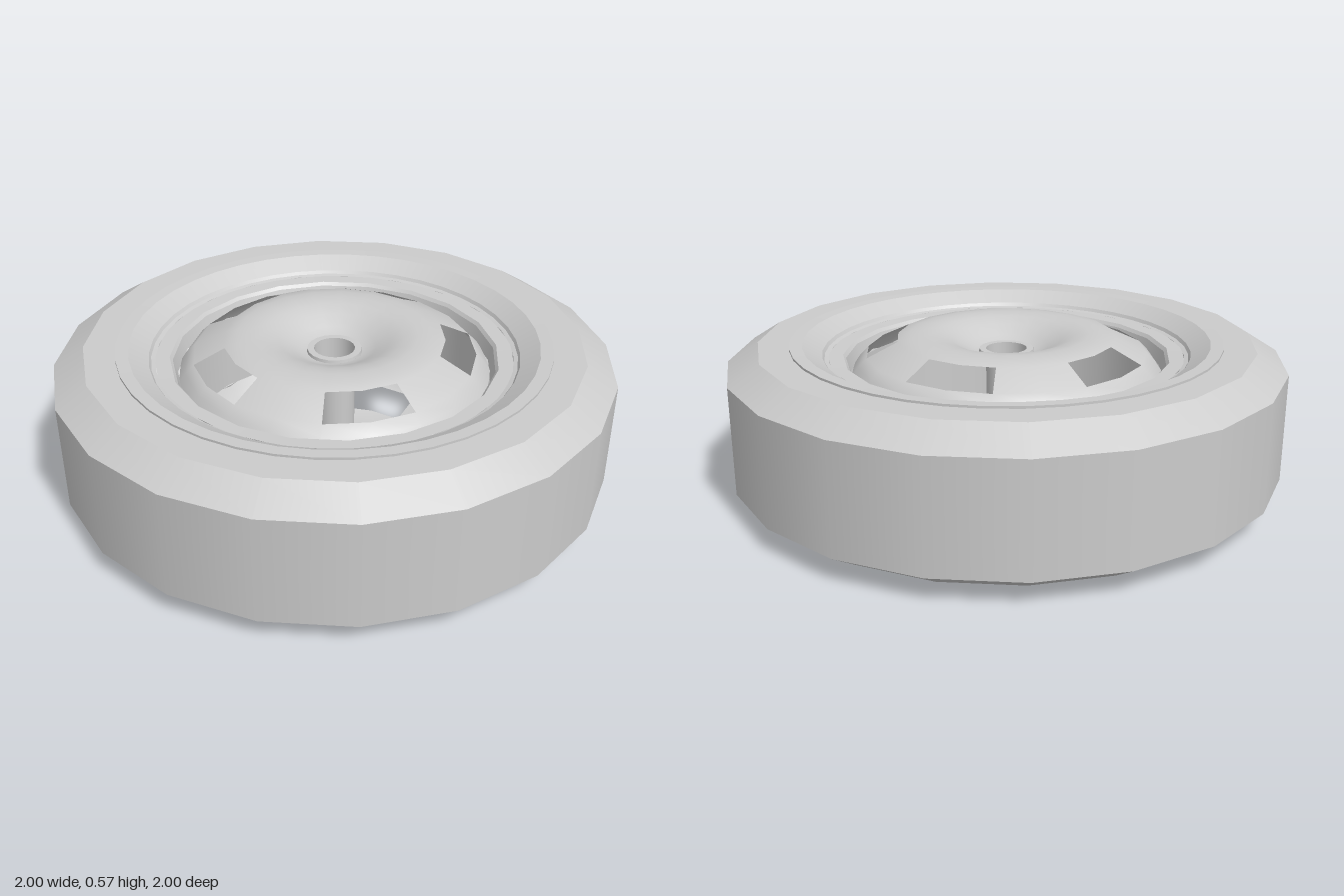
import * as THREE from 'three';

const MID = 0.283; // half the wheel's thickness; profiles are measured from this plane
const grey = new THREE.MeshStandardMaterial({ color: 0xcccccc, side: THREE.DoubleSide });

// Profiles run from outside to inside over the upper face; -1 gives the lower face
const toPoints = (profile, side) => {
  const pts = profile.map(([r, y]) => new THREE.Vector2(r, (y - MID) * side));
  return side > 0 ? pts : pts.reverse();
};

// One lathe per profile: smooth within it, sharp where two profiles meet
function addRing(parent, name, profile, side, segments, phi = 0) {
  const mesh = new THREE.Mesh(new THREE.LatheGeometry(toPoints(profile, side), segments, phi), grey);
  mesh.name = name;
  parent.add(mesh);
  return mesh;
}

// Split a polyline into separate hard-edged strips
function addFaceted(parent, name, profile, side, segments) {
  for (let i = 0; i < profile.length - 1; i++) {
    addRing(parent, name, [profile[i], profile[i + 1]], side, segments);
  }
}

// Domed wheel disc, with five windows left out of one band of faces
function addDisc(parent, side) {
  const profile = [
    [0.565, 0.43], [0.54, 0.468], [0.508, 0.5], [0.396, 0.553], [0.35, 0.562],
    [0.3, 0.566], [0.25, 0.56], [0.2, 0.542], [0.15, 0.514], [0.12, 0.5], [0.1, 0.495],
  ];
  const bands = profile.length - 1;
  const windowBand = side > 0 ? 2 : bands - 1 - 2;
  const disc = addRing(parent, 'wheelDisc', profile, side, 20, Math.PI / 20);
  const index = Array.from(disc.geometry.index.array);
  disc.geometry.setIndex(index.filter((_, n) => {
    const face = Math.floor(n / 6);
    const segment = Math.floor(face / bands);
    return !(face % bands === windowBand && segment % 4 >= 2);
  }));
}

export function createModel() {
  const wheel = new THREE.Group();
  wheel.name = 'wheel';

  const tire = new THREE.Group();
  tire.name = 'tire';
  const rim = new THREE.Group();
  rim.name = 'rim';
  const hub = new THREE.Group();
  hub.name = 'hub';
  wheel.add(tire, rim, hub);

  // Tread
  addRing(tire, 'tread', [[1, 0.09], [1, 0.476]], 1, 20);

  for (const side of [1, -1]) {
    // Shoulder and sidewall
    addFaceted(tire, 'sidewall', [[1, 0.476], [0.89, 0.545], [0.775, 0.545]], side, 20);
    // Rim lip, sloping flange, ledge and inner well
    addFaceted(rim, 'rimFlange', [
      [0.775, 0.54], [0.775, 0.553], [0.73, 0.551], [0.662, 0.51], [0.655, 0.498], [0.64, 0.494],
    ], side, 40);
    addFaceted(rim, 'rimWell', [[0.645, 0.494], [0.59, 0.492], [0.58, 0.48], [0.565, 0.43]], side, 20);
    addDisc(rim, side);
    // Raised lip around the axle hole
    addFaceted(hub, 'hubLip', [[0.1, 0.495], [0.098, 0.506], [0.074, 0.506]], side, 20);
  }

  // Hidden barrel between the discs, and the axle tube
  addRing(rim, 'barrel', [[0.565, 0.43], [0.565, 0.136]], 1, 20, Math.PI / 20);
  addRing(hub, 'axleTube', [[0.074, 0.506], [0.074, 0.06]], 1, 20);

  for (const part of wheel.children) part.position.y = MID;
  return wheel;
}
